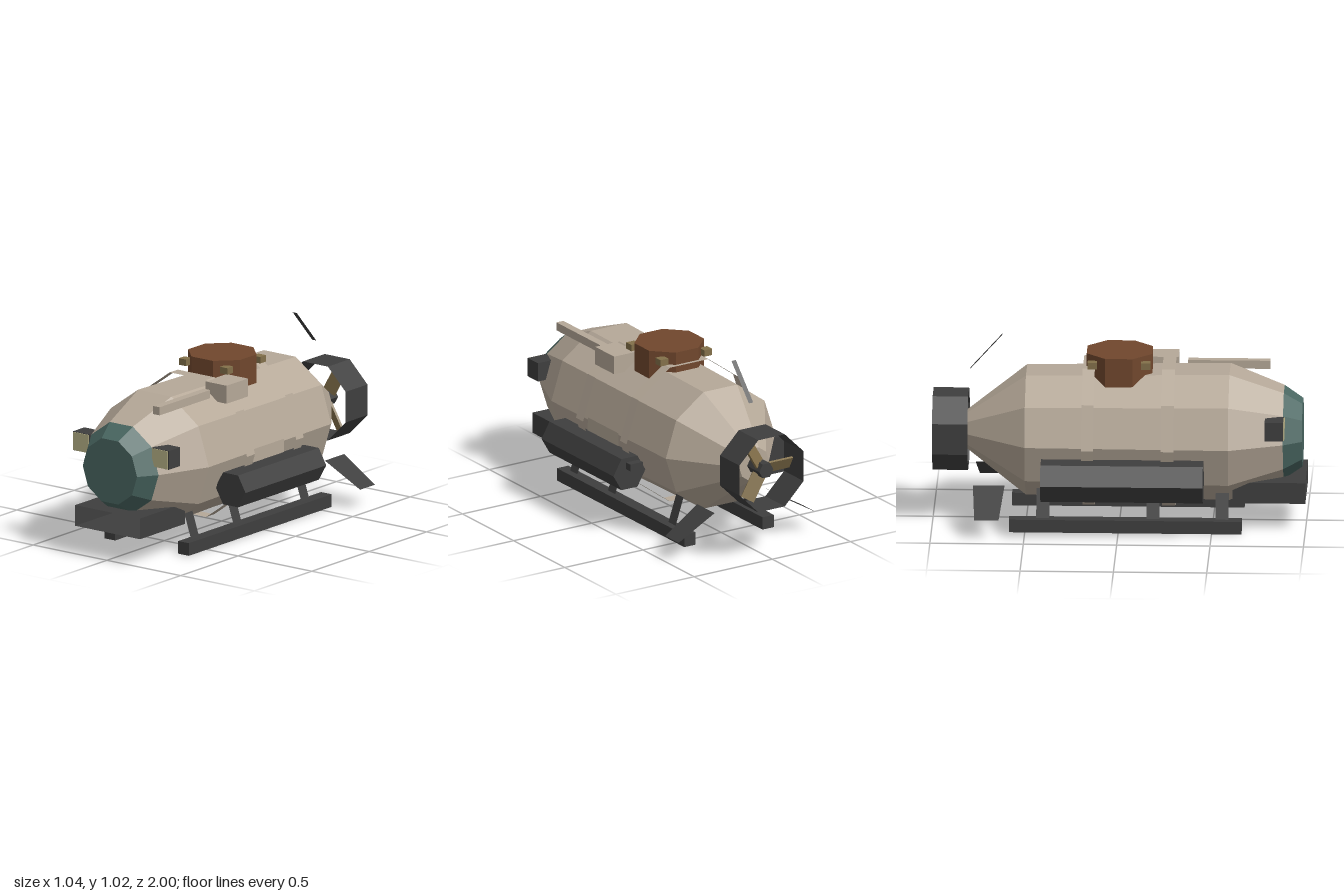
import * as THREE from 'three';

const CX = 0.005, CY = 0.49; // hull axis

export function createModel() {
  const model = new THREE.Group();
  const paint = (name, color) => {
    const m = new THREE.MeshStandardMaterial({ color, flatShading: true, side: THREE.DoubleSide });
    m.name = name;
    return m;
  };
  const hullTan = paint('hullTan', 0xb5a898);
  const darkGrey = paint('darkGrey', 0x3e3e3e);
  const glassTeal = paint('glassTeal', 0x4a6762);
  const rustBrown = paint('rustBrown', 0x70472d);
  const brass = paint('brass', 0x83704a);
  const lampCream = paint('lampCream', 0xb8b288);

  const add = (name, geometry, material, parent = model) => {
    const mesh = new THREE.Mesh(geometry, material);
    mesh.name = name;
    parent.add(mesh);
    return mesh;
  };
  // Prism or cone frustum along z, from zFront to zBack
  const prism = (name, mat, x, y, rFront, rBack, zFront, zBack, sides, start, open = false) => {
    const g = new THREE.CylinderGeometry(rFront, rBack, zFront - zBack, sides, 1, open, start);
    g.rotateX(Math.PI / 2).translate(x, y, (zFront + zBack) / 2);
    return add(name, g, mat);
  };
  const box = (name, mat, x0, x1, y0, y1, z0, z1) => {
    const g = new THREE.BoxGeometry(x1 - x0, y1 - y0, z1 - z0);
    return add(name, g.translate((x0 + x1) / 2, (y0 + y1) / 2, (z0 + z1) / 2), mat);
  };
  // Flat four-cornered sheet
  const sheet = (name, mat, a, b, c, d) => {
    const g = new THREE.BufferGeometry();
    g.setAttribute('position', new THREE.Float32BufferAttribute([...a, ...b, ...c, ...a, ...c, ...d], 3));
    g.computeVertexNormals();
    return add(name, g, mat);
  };
  // Sheet whose two ends run along z, at points p and q of the xy plane
  const strip = (name, mat, p, q, zp, zq = zp) =>
    sheet(name, mat, [...p, zp[0]], [...p, zp[1]], [...q, zq[1]], [...q, zq[0]]);

  // Ten-sided hull: nose, body and tail cone
  const side = Math.PI / 2;
  prism('noseSection', hullTan, CX, CY, 0.252, 0.367, 0.88, 0.59, 10, side, true);
  prism('bodySection', hullTan, CX, CY, 0.367, 0.349, 0.59, -0.5, 10, side, true);
  prism('tailCone', hullTan, CX, CY, 0.349, 0.095, -0.5, -0.83, 10, side);
  prism('cockpitWindow', glassTeal, CX, CY, 0.184, 0.252, 0.98, 0.88, 10, side);

  // Open bands standing just off the hull
  for (const [front, back] of [[0.3, 0.23], [-0.13, -0.195]])
    prism('hullBand', hullTan, CX, CY, 0.4, 0.4, front, back, 10, side, true);

  // Hatch tower with four lugs
  const tower = new THREE.CylinderGeometry(0.19, 0.19, 0.2, 8, 1, false, Math.PI / 8);
  add('hatchTower', tower.translate(CX, 0.84, 0), rustBrown);
  for (const sx of [-1, 1]) for (const sz of [-1, 1]) {
    const x = CX + sx * 0.14, z = sz * 0.143;
    box('hatchLug', brass, x - 0.025, x + 0.025, 0.877, 0.913, z - 0.025, z + 0.025);
  }

  // Roof housing and forward rod
  box('roofHousing', hullTan, 0.13, 0.275, 0.765, 0.865, 0.125, 0.31);
  box('roofRod', hullTan, 0.158, 0.202, 0.795, 0.84, 0.36, 0.8);

  // Side pods
  prism('rightPod', darkGrey, -0.408, 0.329, 0.117, 0.117, 0.46, -0.41, 6, side);
  prism('leftPod', darkGrey, 0.418, 0.344, 0.102, 0.102, 0.46, -0.243, 6, side);
  box('leftPodOutlet', darkGrey, 0.36, 0.44, 0.37, 0.408, -0.285, -0.24);
  strip('leftPodBracket', hullTan, [0.371, 0.505], [0.373, 0.42], [0.235, -0.065]);

  // Front lamps, skids, skid legs and lower fins, mirrored
  for (const s of [-1, 1]) {
    const lx = CX + s * 0.268, kx = CX + s * 0.25;
    box('lampHousing', darkGrey, lx - 0.057, lx + 0.057, 0.533, 0.637, 0.785, 0.885);
    box('lampGlass', lampCream, lx - 0.052, lx + 0.052, 0.535, 0.635, 0.884, 0.89);
    box('skid', darkGrey, kx - 0.036, kx + 0.036, 0, 0.07, -0.585, 0.66);
    for (const z of [0.555, 0.185, -0.405])
      strip('skidLeg', darkGrey, [kx, 0.06], [CX + s * 0.19, 0.24], [z + 0.035, z - 0.035]);
    strip('lowerFin', darkGrey, [CX + s * 0.22, 0.24], [CX + s * 0.44, 0.11],
      [-0.61, -0.78], [-0.635, -0.765]);
  }

  // Leaning upper fin, edge-on to the side
  sheet('upperFin', darkGrey, [CX - 0.014, 1.02, -0.63], [CX + 0.014, 1.02, -0.63],
    [CX + 0.014, 0.83, -0.8], [CX - 0.014, 0.83, -0.8]);

  // Tray under the nose, open at both ends
  const tray = [[-0.215, 0.155], [0.225, 0.155], [0.225, 0.27], [-0.215, 0.27]];
  tray.forEach((p, i) => strip('noseTray', darkGrey, p, tray[(i + 1) % 4], [1, 0.61]));

  // Propeller inside an open octagonal shroud
  prism('propellerShroud', darkGrey, CX, CY, 0.222, 0.222, -0.81, -1, 8, Math.PI / 8, true);
  prism('propellerHub', darkGrey, CX, CY, 0.045, 0.045, -0.82, -0.95, 6, side);
  for (let i = 0; i < 3; i++) {
    const blade = new THREE.BoxGeometry(0.15, 0.075, 0.012);
    blade.rotateX(0.5).translate(0.11, 0, 0).rotateZ(Math.PI / 3 + i * Math.PI * 2 / 3);
    add('propellerBlade', blade.translate(CX, CY, -0.905), brass);
  }
  return model;
}
